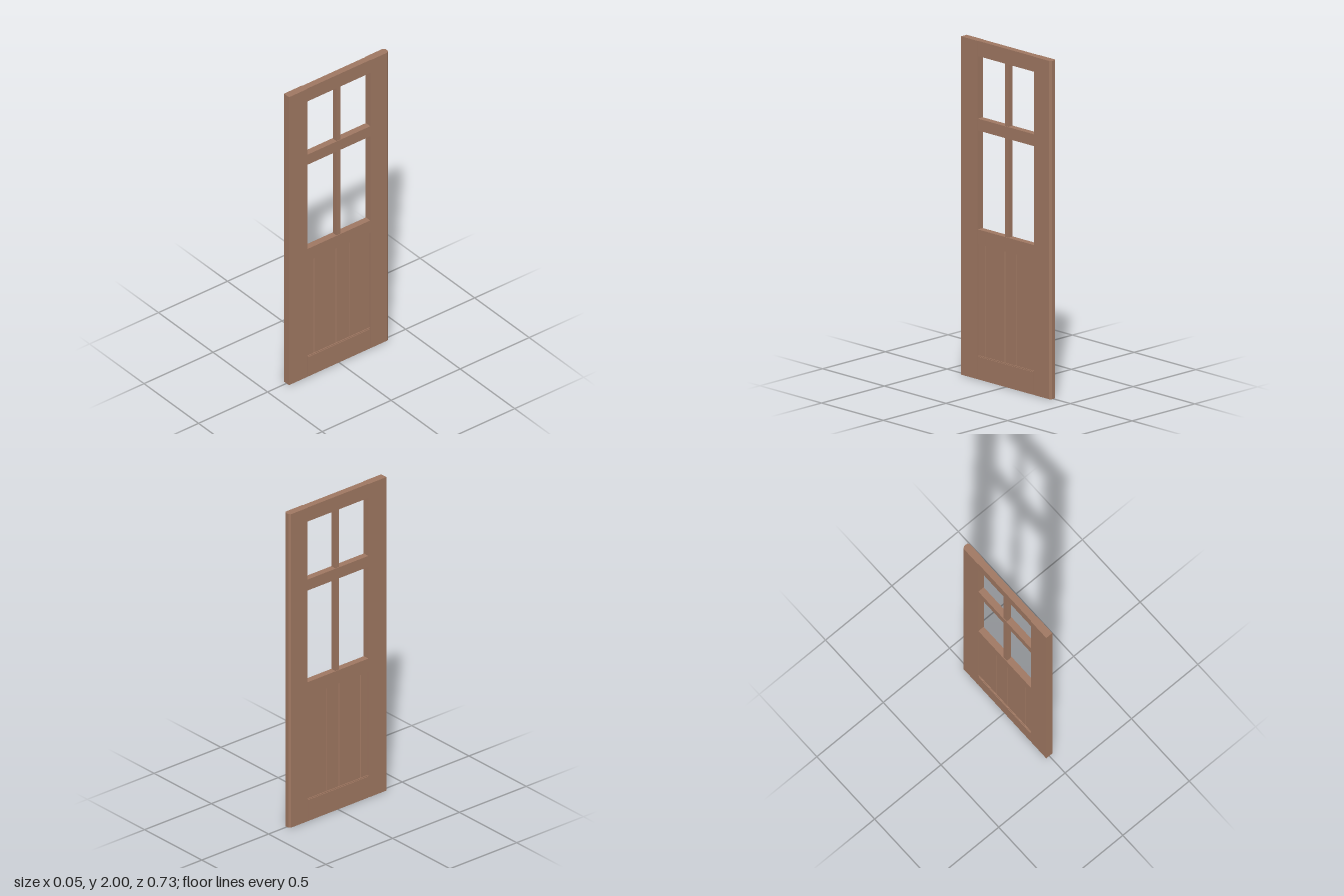
import * as THREE from 'three';

export function createModel() {
  const door = new THREE.Group();
  door.name = 'door';
  const wood = new THREE.MeshStandardMaterial({ color: 0xa07862 });
  wood.name = 'brown wood';

  // Vertical piece: outline in (x, z) pairs, extruded from y0 to y1
  function upright(name, outline, y0, y1) {
    const shape = new THREE.Shape(outline.map(([x, z]) => new THREE.Vector2(x, -z)));
    const geo = new THREE.ExtrudeGeometry(shape, { depth: y1 - y0, bevelEnabled: false });
    geo.rotateX(-Math.PI / 2);
    const mesh = new THREE.Mesh(geo, wood);
    mesh.name = name;
    mesh.position.y = y0;
    door.add(mesh);
  }

  // Box spanning the door thickness, given half thickness and y, z ranges
  function rail(name, half, y0, y1, z0, z1) {
    const mesh = new THREE.Mesh(new THREE.BoxGeometry(half * 2, y1 - y0, z1 - z0), wood);
    mesh.name = name;
    mesh.position.set(0, (y0 + y1) / 2, (z0 + z1) / 2);
    door.add(mesh);
  }

  const T = 0.023, zBack = -0.228, zFront = 0.23;

  // Side stiles; the back one has a bevelled outer edge
  upright('frontStile', [[-T, zFront], [T, zFront], [T, 0.363], [-T, 0.363]], 0, 2);
  upright('backStile', [
    [-T, zBack], [-T, -0.352], [-0.012, -0.363], [0.012, -0.363], [T, -0.352], [T, zBack],
  ], 0, 2);

  // Cross rails, set slightly in from the stiles
  rail('topRail', 0.02, 1.91, 2, zBack, zFront);
  rail('middleRail', 0.02, 1.47, 1.54, zBack, zFront);
  rail('lockRail', 0.02, 0.80, 0.885, zBack, zFront);
  rail('bottomRail', 0.019, 0, 0.14, zBack, zFront);
  rail('kickBoard', T, 0, 0.134, -0.222, 0.225);

  // Glazing bars
  rail('upperGlazingBar', 0.016, 1.54, 1.91, -0.014, 0.014);
  rail('lowerGlazingBar', 0.016, 0.885, 1.47, -0.014, 0.014);

  // Lower panel with V grooves between the planks on both faces
  const P = 0.014, side = [[P, zBack]];
  for (const z of [-0.08, 0.016, 0.175]) {
    side.push([P, z - 0.003], [P - 0.005, z], [P, z + 0.003]);
  }
  side.push([P, zFront]);
  const mirrored = side.map(([x, z]) => [-x, z]).reverse();
  upright('plankPanel', [...side, ...mirrored], 0.14, 0.80);

  return door;
}
